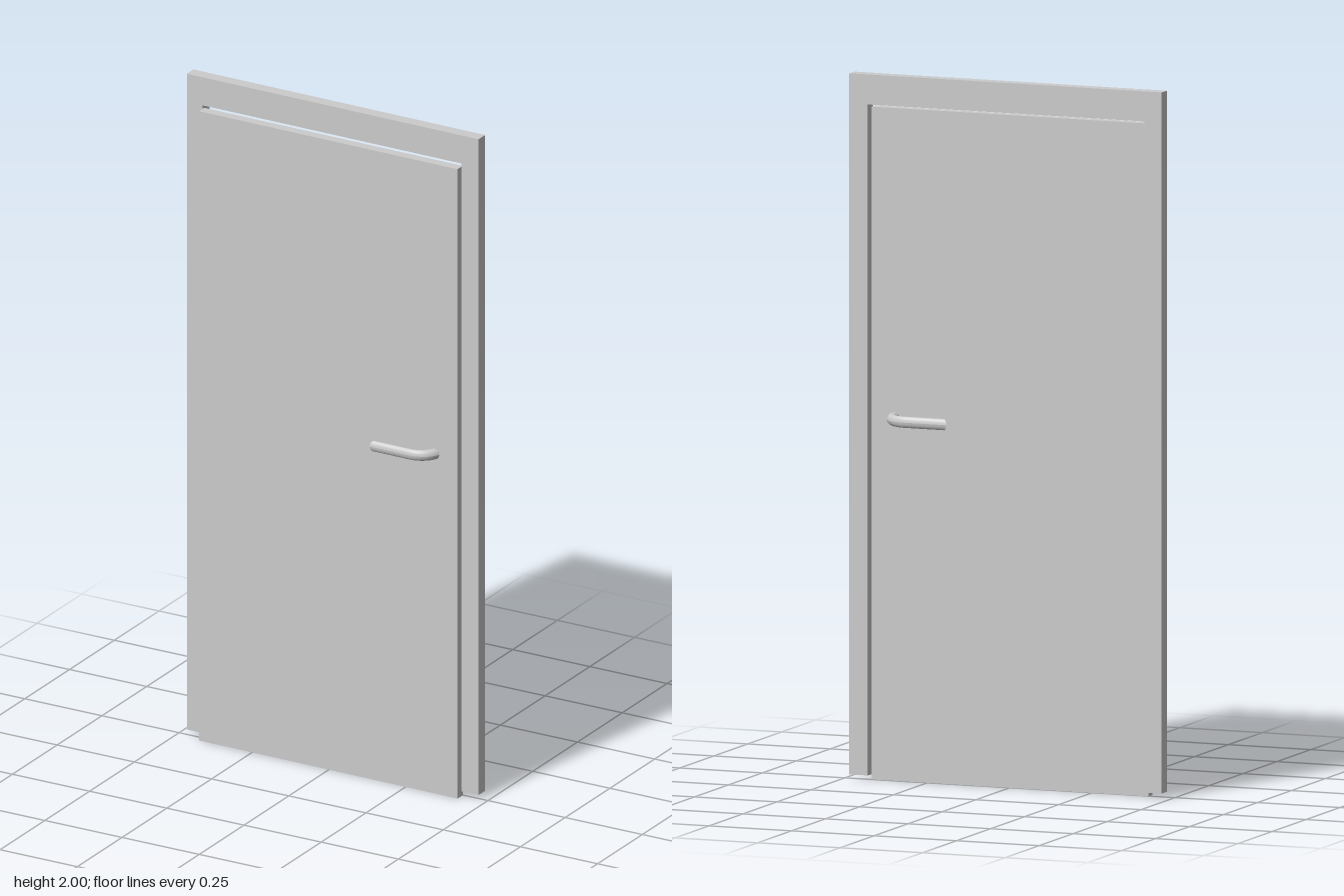
import * as THREE from 'three';

const material = new THREE.MeshStandardMaterial({ color: 0xcccccc });

function addMesh(parent, name, geometry) {
  const mesh = new THREE.Mesh(geometry, material);
  mesh.name = name;
  parent.add(mesh);
  return mesh;
}

// Handle dimensions: the bar is an oval, squashed in z
const TIP = 0.16, BEND = 0.288, REACH = 0.062, HALF = 0.067, RADIUS = 0.016, SQUASH = 0.6;

// Squash in z and cut the lever tips at a slant
function shapeHandle(geometry) {
  const p = geometry.attributes.position;
  for (let i = 0; i < p.count; i++) {
    const x = p.getX(i), z = p.getZ(i) * SQUASH;
    const t = Math.max(0, (BEND - x) / (BEND - TIP));
    const inward = HALF + RADIUS * SQUASH - Math.abs(z);
    p.setXYZ(i, x + t * inward, p.getY(i), z);
  }
  geometry.computeVertexNormals();
  return geometry;
}

function createHandle() {
  const handle = new THREE.Group();
  handle.name = 'handle';
  const h = HALF / SQUASH;

  // One U-shaped bar: front lever, neck through the leaf, back lever
  const points = [];
  for (let i = 0; i < 4; i++) points.push(new THREE.Vector3(TIP + (BEND - TIP) * i / 4, 0, h));
  for (let i = 0; i <= 16; i++) {
    const a = Math.PI / 2 - Math.PI * i / 16;
    points.push(new THREE.Vector3(BEND + REACH * Math.cos(a), 0, h * Math.sin(a)));
  }
  for (let i = 3; i >= 0; i--) points.push(new THREE.Vector3(TIP + (BEND - TIP) * i / 4, 0, -h));
  const path = new THREE.CatmullRomCurve3(points);
  addMesh(handle, 'handleBar', shapeHandle(new THREE.TubeGeometry(path, 64, RADIUS, 16)));

  // Slanted tip caps
  for (const side of [1, -1]) {
    const cap = new THREE.CircleGeometry(RADIUS, 16);
    cap.rotateY(-Math.PI / 2).translate(TIP, 0, side * h);
    addMesh(handle, side > 0 ? 'frontTipCap' : 'backTipCap', shapeHandle(cap));
  }
  return handle;
}

export function createModel() {
  const model = new THREE.Group();
  model.name = 'door';

  // Frame: two jambs and a head, open at the bottom
  const outline = new THREE.Shape([
    [-0.475, 0.015], [-0.423, 0.015], [-0.423, 1.915], [0.419, 1.915],
    [0.419, 0.015], [0.475, 0.015], [0.475, 2], [-0.475, 2],
  ].map(([x, y]) => new THREE.Vector2(x, y)));
  const frame = new THREE.ExtrudeGeometry(outline, { depth: 0.037, bevelEnabled: false });
  addMesh(model, 'frame', frame.translate(0, 0, -0.032));

  // Leaf, standing proud of the frame at the front, with a gap above it
  const leaf = addMesh(model, 'leaf', new THREE.BoxGeometry(0.842, 1.905, 0.029));
  leaf.position.set(-0.002, 0.9525, 0.0115);

  const handle = createHandle();
  handle.position.set(0, 1.028, -0.004);
  model.add(handle);

  // The whole door sits very slightly turned
  model.rotation.y = -0.0095;
  return model;
}
